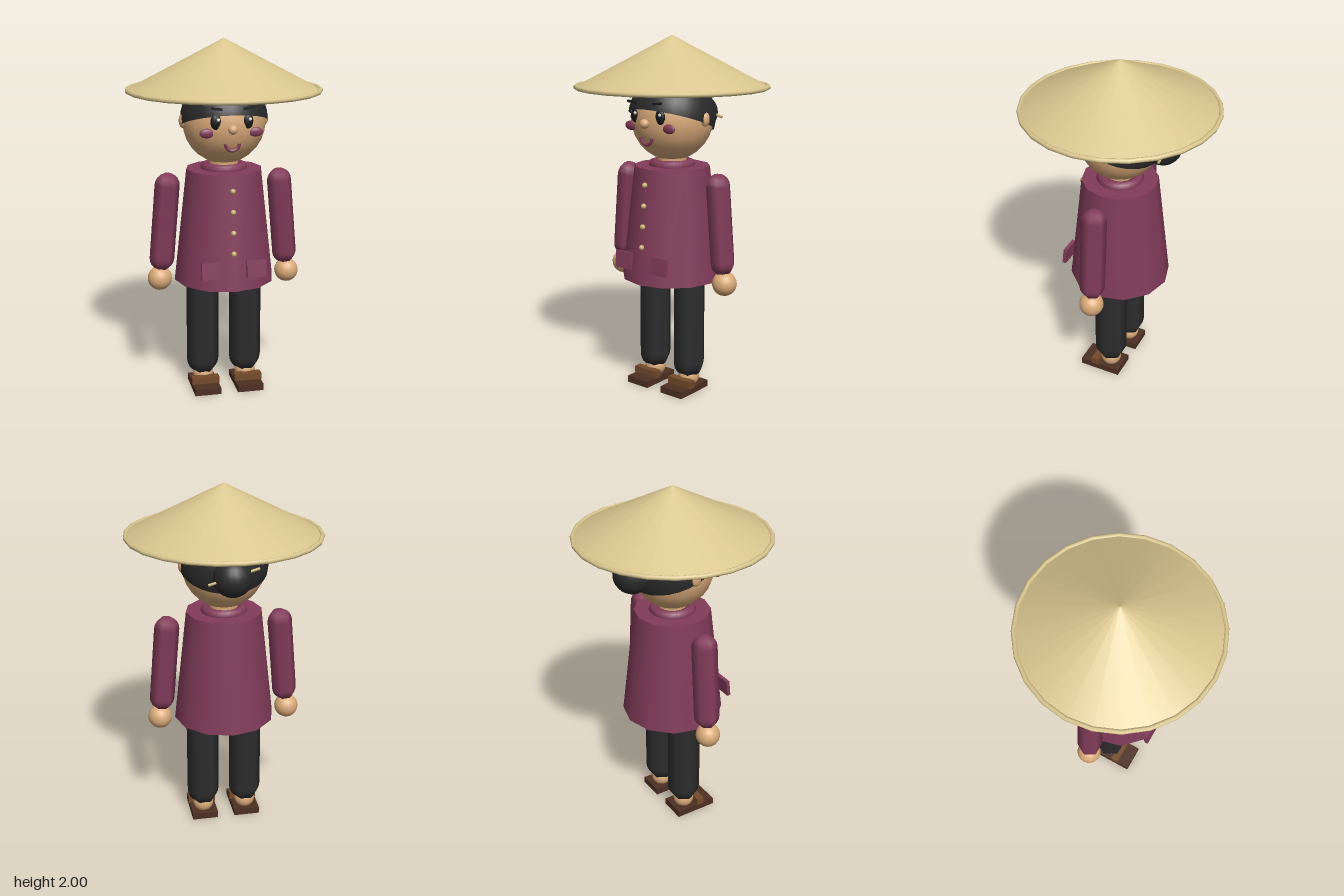
import * as THREE from 'three';

const mat = (name, color) => {
  const m = new THREE.MeshStandardMaterial({ color });
  m.name = name;
  return m;
};

export function createModel() {
  const straw = mat('straw', 0xd9c68f);
  const skin = mat('skin', 0xd9aa7a);
  const black = mat('hair black', 0x2a2a2a);
  const charcoal = mat('trouser charcoal', 0x2d2d2d);
  const maroon = mat('maroon cloth', 0x823c5a);
  const brass = mat('brass', 0xc8b273);
  const sole = mat('sole brown', 0x4d2f23);
  const strap = mat('strap brown', 0x744a2b);
  const ink = mat('eye black', 0x1a1a1a);
  const white = mat('eye glint', 0xf2efe6);
  black.side = THREE.DoubleSide;

  const model = new THREE.Group();
  model.name = 'figure';

  const add = (name, geometry, material, x, y, z) => {
    const mesh = new THREE.Mesh(geometry, material);
    mesh.name = name;
    mesh.position.set(x, y, z);
    model.add(mesh);
    return mesh;
  };
  const ball = (name, material, x, y, z, rx, ry = rx, rz = rx) => {
    const mesh = add(name, new THREE.SphereGeometry(1, 20, 14), material, x, y, z);
    mesh.scale.set(rx, ry, rz);
    return mesh;
  };

  // Conical hat with a rolled rim
  add('hat', new THREE.ConeGeometry(0.525, 0.275, 24), straw, 0, 1.8625, 0);
  add('hatRim', new THREE.TorusGeometry(0.525, 0.013, 8, 24), straw, 0, 1.725, 0).rotation.x = Math.PI / 2;

  // Head, neck and face
  ball('head', skin, 0, 1.555, 0, 0.23, 0.237, 0.228);
  add('neck', new THREE.CylinderGeometry(0.08, 0.08, 0.14, 12), skin, 0, 1.33, 0);
  ball('nose', skin, 0, 1.54, 0.233, 0.026);
  const mouth = add('mouth', new THREE.TorusGeometry(0.038, 0.009, 6, 14, Math.PI), maroon, 0, 1.463, 0.217);
  mouth.rotation.z = Math.PI;

  // Hair cap tilted back, with a bun and a slanted pin
  const hair = add('hair', new THREE.SphereGeometry(0.241, 28, 14, 0, Math.PI * 2, 0, Math.PI * 0.53), black, 0, 1.56, 0);
  hair.rotation.x = -0.33;
  ball('hairBun', black, 0, 1.56, -0.247, 0.105);
  const pin = add('hairPin', new THREE.CylinderGeometry(0.008, 0.008, 0.28, 8), brass, 0, 1.575, -0.28);
  pin.rotation.z = Math.PI / 2 - 0.27;

  // Coat and collar
  add('coat', new THREE.CylinderGeometry(0.212, 0.284, 0.635, 12), maroon, 0, 0.9725, 0);
  add('collar', new THREE.TorusGeometry(0.1, 0.03, 8, 24), maroon, 0, 1.295, 0).rotation.x = Math.PI / 2;
  for (let i = 0; i < 4; i++) {
    ball('button', brass, 0, 1.207 - i * 0.114, 0.235 + i * 0.0095, 0.015);
  }

  // Mirrored parts
  for (const s of [1, -1]) {
    ball('ear', skin, s * 0.228, 1.56, 0, 0.022, 0.04, 0.03);
    ball('eye', ink, s * 0.086, 1.58, 0.205, 0.03, 0.042, 0.017);
    ball('eyeGlint', white, s * 0.086 + 0.01, 1.592, 0.222, 0.009, 0.009, 0.006);
    ball('cheek', maroon, s * 0.133, 1.518, 0.19, 0.04, 0.026, 0.015);
    const brow = add('eyebrow', new THREE.BoxGeometry(0.06, 0.012, 0.01), ink, s * 0.088, 1.652, 0.232);
    brow.rotation.z = s * 0.12;

    const pocket = add('pocket', new THREE.BoxGeometry(0.108, 0.095, 0.02), maroon, s * 0.125, 0.778, 0.268);
    pocket.rotation.x = -0.11;

    const arm = add('arm', new THREE.CapsuleGeometry(0.07, 0.42, 5, 6), maroon, s * 0.337, 0.995, 0);
    arm.rotation.z = s * 0.085;
    ball('hand', skin, s * 0.369, 0.67, 0, 0.068);

    add('trouserLeg', new THREE.CapsuleGeometry(0.093, 0.5, 5, 6), charcoal, s * 0.125, 0.413, 0);
    ball('foot', skin, s * 0.125, 0.075, 0, 0.06);
    add('sandalSole', new THREE.BoxGeometry(0.15, 0.038, 0.245), sole, s * 0.125, 0.019, 0.043);
    add('sandalStrap', new THREE.BoxGeometry(0.158, 0.042, 0.045), strap, s * 0.125, 0.056, 0.072);
  }

  return model;
}
